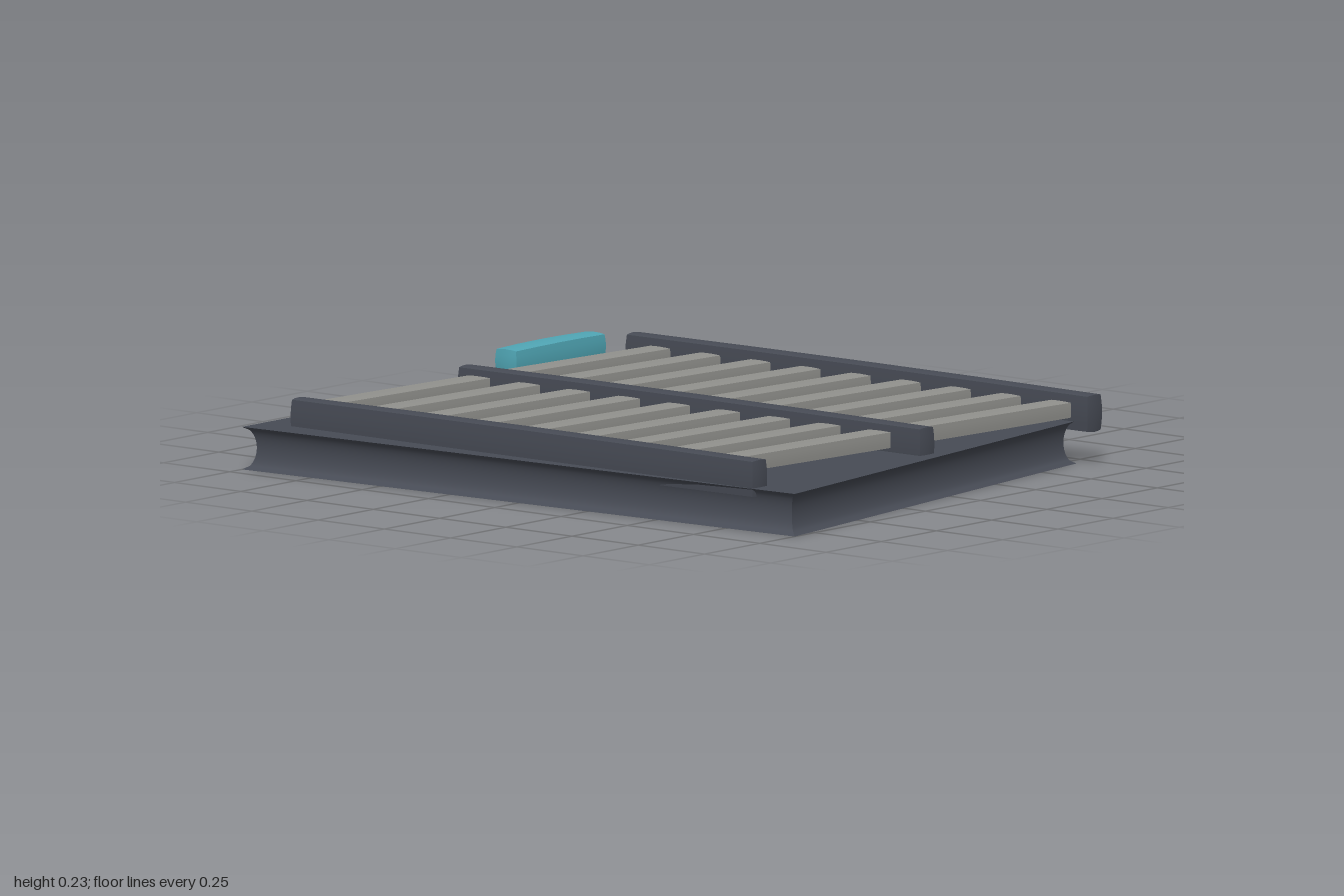
import * as THREE from 'three';

const darkMetal = new THREE.MeshStandardMaterial({ name: 'dark metal', color: 0x474b55 });
const greyMetal = new THREE.MeshStandardMaterial({ name: 'grey metal', color: 0x91918d });
const tealPaint = new THREE.MeshStandardMaterial({ name: 'teal paint', color: 0x50a6b5 });

// Plate corners (x, z), counter-clockwise seen from above
const corners = [[-0.945, -1], [-0.842, 1], [0.685, 0.79], [0.945, -1]].map(([x, z]) => new THREE.Vector2(x, z));

// Moves every edge inwards by d and returns the new corners
function inset(points, d) {
  const n = points.length;
  return points.map((p, i) => {
    const a = p.clone().sub(points[(i + n - 1) % n]).normalize();
    const b = points[(i + 1) % n].clone().sub(p).normalize();
    const na = new THREE.Vector2(a.y, -a.x), nb = new THREE.Vector2(b.y, -b.x);
    const m = na.clone().add(nb);
    return p.clone().addScaledVector(m, d / (1 + na.dot(nb)));
  });
}

// Plate with hollowed edges: stacked outlines, each side with its own vertices
function plateGeometry(height, depth, rows) {
  const rings = [];
  for (let r = 0; r <= rows; r++) {
    const t = r / rows;
    const d = depth * Math.sqrt(Math.max(0, 1 - (2 * t - 1) ** 2));
    rings.push(inset(corners, d).map((p) => [p.x, t * height, p.y]));
  }
  const pos = [], idx = [];
  for (let s = 0; s < 4; s++) {
    const start = pos.length / 3;
    rings.forEach((ring) => pos.push(...ring[s], ...ring[(s + 1) % 4]));
    for (let r = 0; r < rows; r++) {
      const a = start + r * 2;
      idx.push(a, a + 1, a + 3, a, a + 3, a + 2);
    }
  }
  const top = pos.length / 3;
  pos.push(...rings[rows].flat());
  idx.push(top, top + 1, top + 2, top, top + 2, top + 3);
  const bottom = pos.length / 3;
  pos.push(...rings[0].flat());
  idx.push(bottom, bottom + 2, bottom + 1, bottom, bottom + 3, bottom + 2);
  const geo = new THREE.BufferGeometry();
  geo.setAttribute('position', new THREE.Float32BufferAttribute(pos, 3));
  geo.setIndex(idx);
  geo.computeVertexNormals();
  return geo;
}

// Box whose faces swell slightly towards their middles
function bowedBox(w, h, d, bow) {
  const geo = new THREE.BoxGeometry(w, h, d, 4, 4, 4);
  const p = geo.attributes.position;
  for (let i = 0; i < p.count; i++) {
    const u = [p.getX(i) / w, p.getY(i) / h, p.getZ(i) / d].map((v) => 4 * v * v);
    const pull = (a, b) => bow * (a + b) / 2;
    p.setXYZ(i,
      p.getX(i) * (1 - 2 * pull(u[1], u[2]) / w),
      p.getY(i) * (1 - 2 * pull(u[0], u[2]) / h),
      p.getZ(i) * (1 - 2 * pull(u[0], u[1]) / d));
  }
  geo.computeVertexNormals();
  return geo;
}

export function createModel() {
  const model = new THREE.Group();
  model.name = 'slattedPanel';
  const add = (name, geo, mat, x, y, z) => {
    const mesh = new THREE.Mesh(geo, mat);
    mesh.name = name;
    mesh.position.set(x, y, z);
    model.add(mesh);
    return mesh;
  };

  add('basePlate', plateGeometry(0.125, 0.03, 12), darkMetal, 0, 0, 0);

  // Three rails running front to back
  const railGeo = bowedBox(0.072, 0.115, 1.75, 0.006);
  [-0.812, -0.055, 0.704].forEach((x, i) => add('rail' + (i + 1), railGeo, darkMetal, x, 0.151, -0.028));

  // Nine slats, all turned the same way
  const slatGeo = bowedBox(1.475, 0.048, 0.083, 0.002);
  for (let i = 0; i < 9; i++) {
    add('slat' + (i + 1), slatGeo, greyMetal, -0.073, 0.16, -0.818 + i * 0.189).rotation.y = -0.08;
  }

  // Coloured grip at the back
  add('grip', bowedBox(0.412, 0.08, 0.086, 0.006), tealPaint, 0.337, 0.19, -0.904);
  return model;
}
